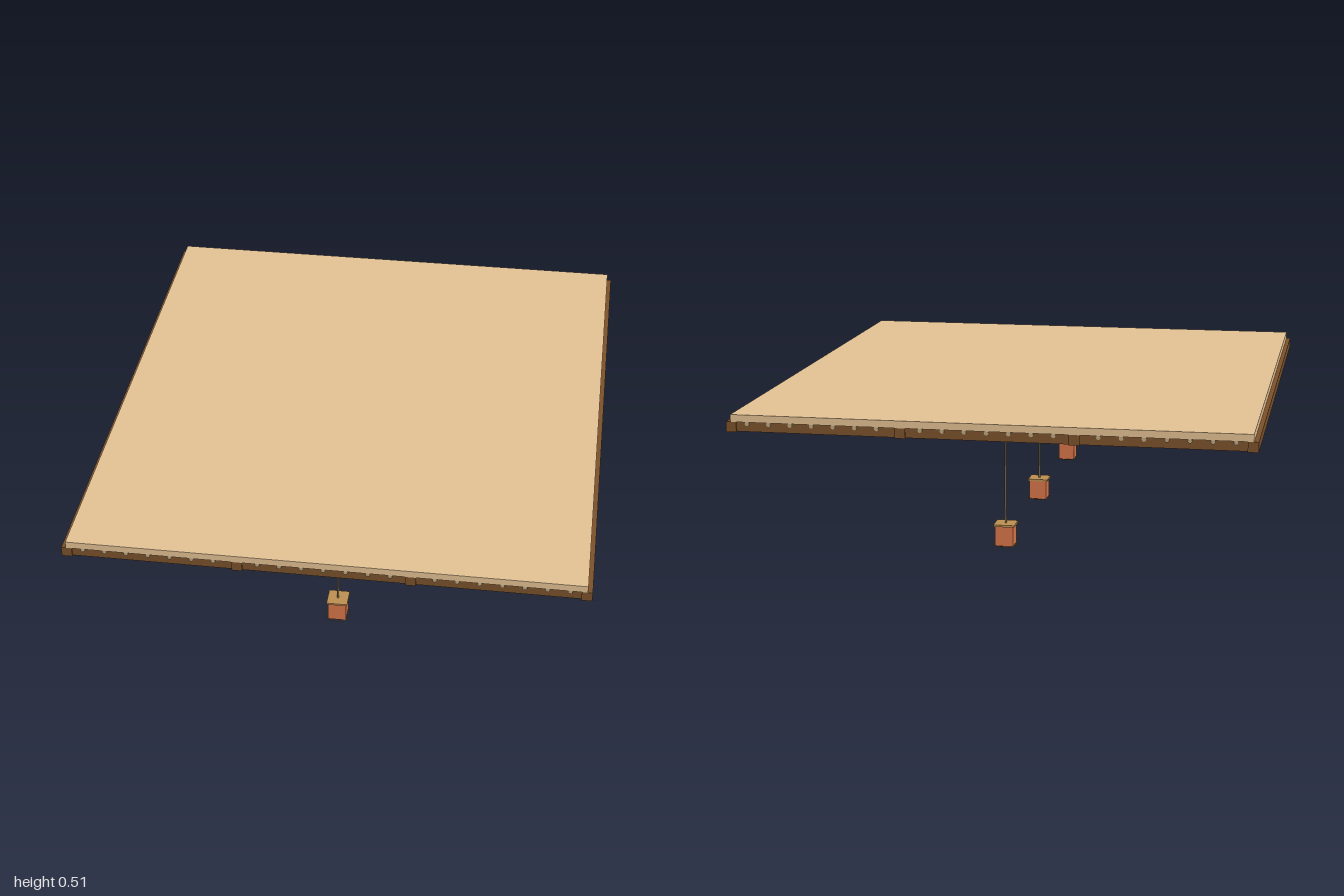
import * as THREE from 'three';

const mat = (name, color) => {
  const m = new THREE.MeshStandardMaterial({ color });
  m.name = name;
  return m;
};

export function createModel() {
  const root = new THREE.Group();
  root.name = 'ceilingWithLanterns';
  const panelTan = mat('panel tan', 0xe4c294);
  const beamBrown = mat('beam brown', 0x7c522b);
  const reed = mat('reed beige', 0xbda782);
  const rope = mat('rope olive', 0x94835c);
  const clay = mat('lantern orange', 0xd8764a);
  const capGold = mat('lantern cap', 0xbd9052);
  const dark = mat('lantern dark wood', 0x5a3a20);

  const add = (parent, name, geo, material, x, y, z) => {
    const mesh = new THREE.Mesh(geo, material);
    mesh.name = name;
    mesh.position.set(x, y, z);
    parent.add(mesh);
  };

  // Roof panel
  add(root, 'ceilingPanel', new THREE.BoxGeometry(1.754, 0.025, 2), panelTan, 0, 0.4945, 0);

  // Long beams, front to back
  for (const x of [-0.875, -0.292, 0.292, 0.875])
    add(root, 'longBeam', new THREE.BoxGeometry(0.036, 0.035, 2), beamBrown, x, 0.4645, 0);

  // Cross beams, reaching up to the panel and set slightly inside the long beams
  for (const z of [-0.977, -0.33, 0.33, 0.977])
    add(root, 'crossBeam', new THREE.BoxGeometry(1.75, 0.033, 0.036), beamBrown, 0, 0.4655, z);

  // Reeds under the panel, their ends showing through the outer cross beams
  const reedGeo = new THREE.CylinderGeometry(0.008, 0.008, 1.998, 8).rotateX(Math.PI / 2);
  for (let i = -11; i <= 11; i++)
    add(root, 'reed', reedGeo, reed, i * 0.0745, 0.4765, 0);

  // Hanging lanterns
  for (const z of [-0.67, 0, 0.67]) {
    const lantern = new THREE.Group();
    lantern.name = 'lantern';
    lantern.position.z = z;
    root.add(lantern);
    add(lantern, 'cord', new THREE.CylinderGeometry(0.0035, 0.0035, 0.4, 8), rope, 0, 0.284, 0);
    add(lantern, 'ceilingMount', new THREE.CylinderGeometry(0.016, 0.016, 0.012, 12), rope, 0, 0.474, 0);
    add(lantern, 'cap', new THREE.BoxGeometry(0.074, 0.007, 0.074), capGold, 0, 0.081, 0);
    add(lantern, 'body', new THREE.BoxGeometry(0.064, 0.07, 0.064), clay, 0, 0.0425, 0);
    add(lantern, 'base', new THREE.CylinderGeometry(0.026, 0.022, 0.0075, 16), dark, 0, 0.00375, 0);
    // Hoop around the foot
    add(lantern, 'hoop', new THREE.TorusGeometry(0.045, 0.0015, 6, 32).rotateX(Math.PI / 2),
      rope, 0, 0.0085, 0);
  }
  return root;
}
